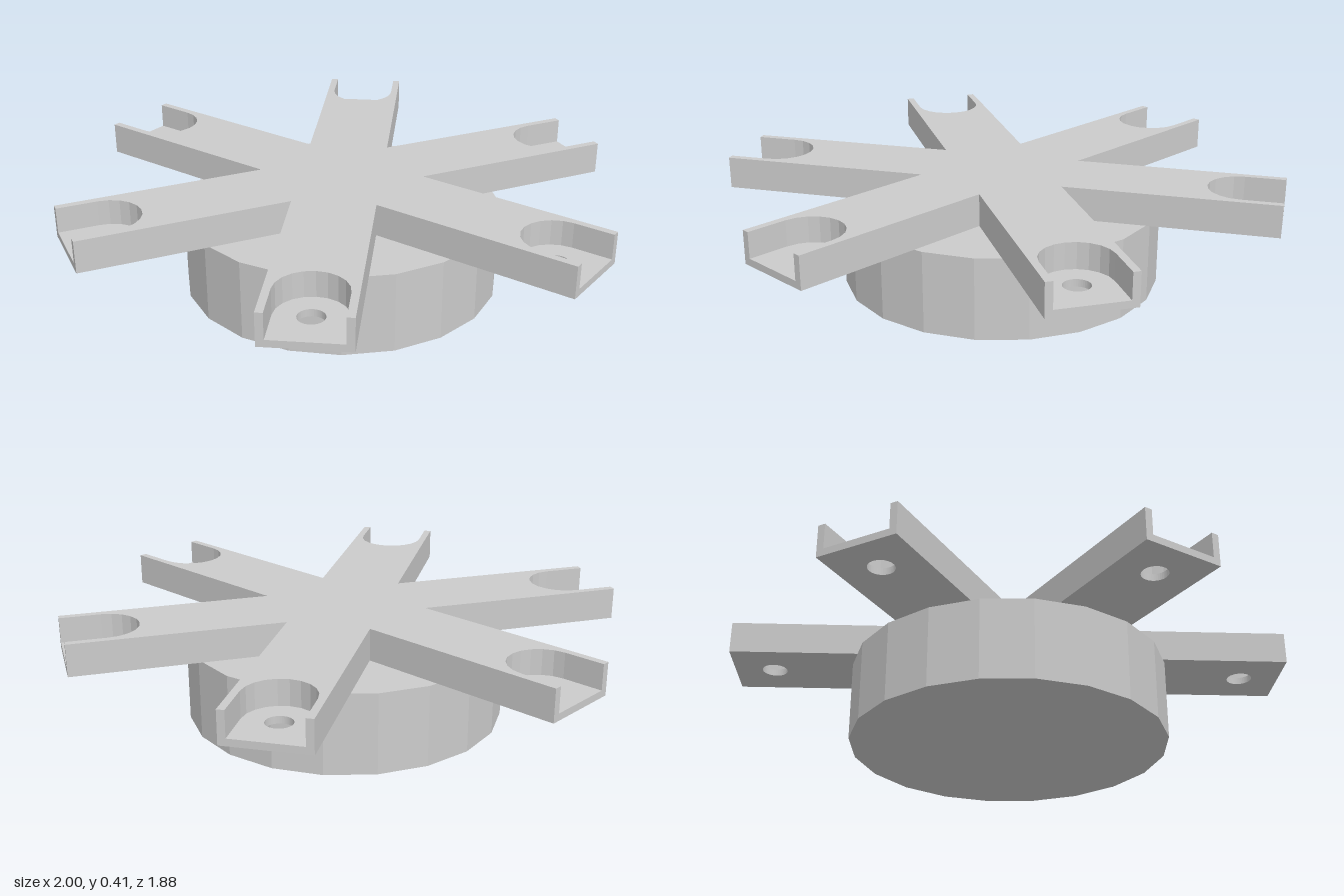
import * as THREE from 'three';

const ARMS = 6, HALF = 0.146, LENGTH = 1;
const PIVOT = 0.857, POCKET = 0.12, HOLE = 0.045;
const BASE_TOP = 0.29, FLOOR = 0.315, TOP = 0.405;

// Star outline; with pockets, each arm tip has a round-ended slot cut into it
function starShape(pockets) {
  const points = [];
  for (let i = 0; i < ARMS; i++) {
    const a = (i * 2 * Math.PI) / ARMS;
    const centre = new THREE.Vector2();
    const add = (x, y) => points.push(new THREE.Vector2(x, y).rotateAround(centre, a));
    // inner corner shared with the previous arm, then the tip
    add(HALF / Math.tan(Math.PI / ARMS), -HALF);
    add(LENGTH, -HALF);
    if (pockets) {
      add(LENGTH, -POCKET);
      for (let k = 0; k <= 10; k++) {
        const t = -Math.PI / 2 - (k * Math.PI) / 10;
        add(PIVOT + POCKET * Math.cos(t), POCKET * Math.sin(t));
      }
      add(LENGTH, POCKET);
    }
    add(LENGTH, HALF);
  }
  return new THREE.Shape(points);
}

function plate(name, shape, bottom, top, material) {
  const geometry = new THREE.ExtrudeGeometry(shape, {
    depth: top - bottom, bevelEnabled: false, curveSegments: 20,
  });
  geometry.rotateX(-Math.PI / 2);
  geometry.translate(0, bottom, 0);
  const mesh = new THREE.Mesh(geometry, material);
  mesh.name = name;
  return mesh;
}

export function createModel() {
  const group = new THREE.Group();
  group.name = 'sixArmHub';
  const material = new THREE.MeshStandardMaterial({ color: 0xcccccc, flatShading: true });

  // Faceted round base
  const base = new THREE.Mesh(new THREE.CylinderGeometry(0.572, 0.572, BASE_TOP, 20), material);
  base.position.y = BASE_TOP / 2;
  base.name = 'base';
  group.add(base);

  // Thin lower layer of the arms, with a screw hole near each tip
  const floor = starShape(false);
  for (let i = 0; i < ARMS; i++) {
    const a = (i * 2 * Math.PI) / ARMS;
    const hole = new THREE.Path();
    hole.absarc(PIVOT * Math.cos(a), PIVOT * Math.sin(a), HOLE, 0, Math.PI * 2, true);
    floor.holes.push(hole);
  }
  group.add(plate('armFloors', floor, BASE_TOP, FLOOR, material));

  // Thick upper layer with the open pockets
  group.add(plate('arms', starShape(true), FLOOR, TOP, material));

  return group;
}
